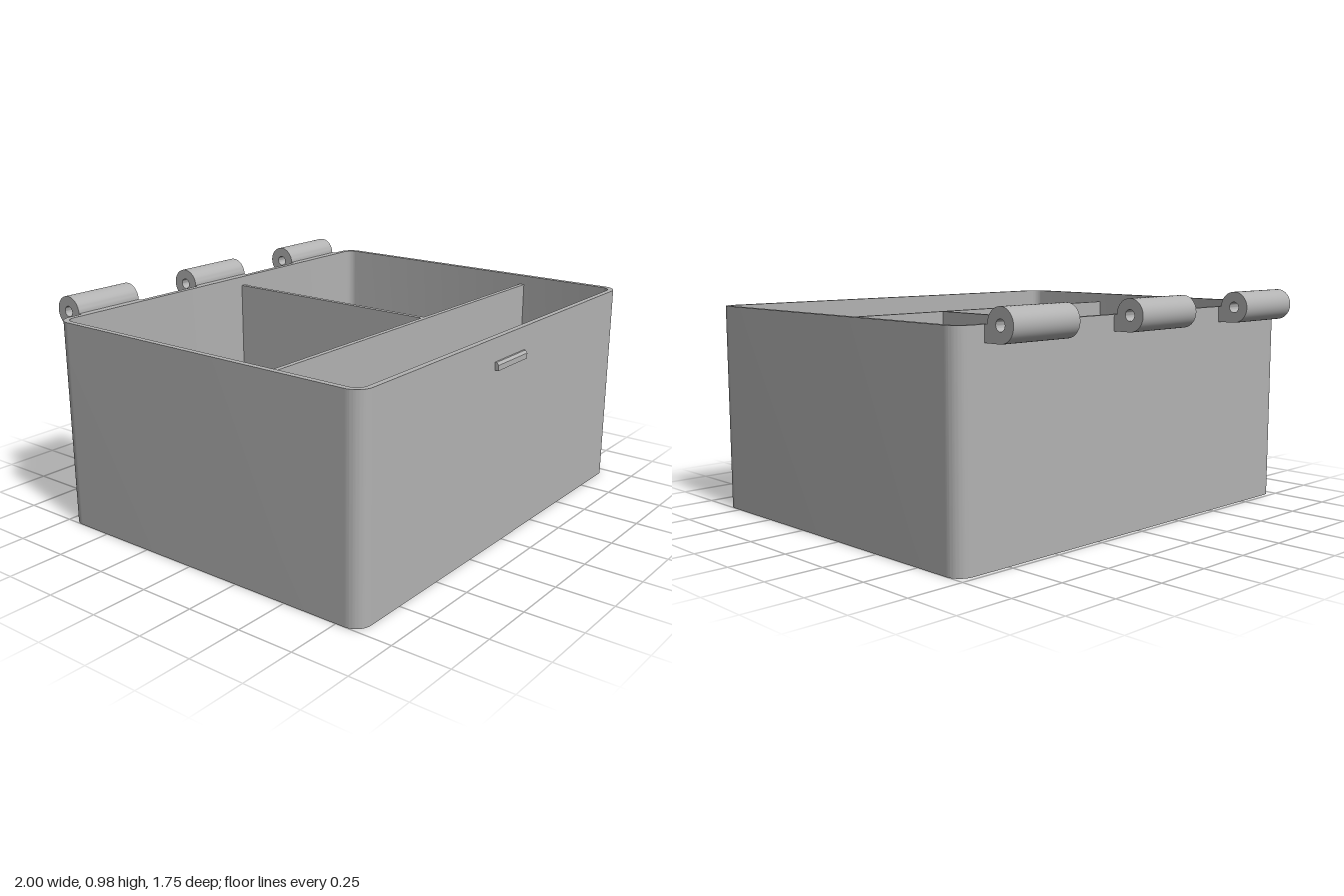
import * as THREE from 'three';
import { toCreasedNormals } from 'three/addons/utils/BufferGeometryUtils.js';

const FRONT = 0.86, BACK = -0.73, HEIGHT = 0.911, WALL = 0.025, RADIUS = 0.07;
const DIVIDER_TOP = 0.868, FLOOR = 0.025;

// Rounded rectangle of the box plan, drawn with y = -z and shrunk by an inset
function plan(Kind, inset) {
  const r = RADIUS - inset, x = 1 - inset, y0 = -FRONT + inset, y1 = -BACK - inset;
  const s = new Kind();
  s.moveTo(-x + r, y0);
  s.lineTo(x - r, y0);
  s.absarc(x - r, y0 + r, r, -Math.PI / 2, 0);
  s.lineTo(x, y1 - r);
  s.absarc(x - r, y1 - r, r, 0, Math.PI / 2);
  s.lineTo(-x + r, y1);
  s.absarc(-x + r, y1 - r, r, Math.PI / 2, Math.PI);
  s.lineTo(-x, y0 + r);
  s.absarc(-x + r, y0 + r, r, Math.PI, Math.PI * 1.5);
  return s;
}

function extrude(shape, depth) {
  const g = new THREE.ExtrudeGeometry(shape, { depth, bevelEnabled: false, curveSegments: 16 });
  return toCreasedNormals(g, 0.6);
}

// Extrudes a (z, y) profile along x, centred on x = 0
function alongX(shape, width) {
  return extrude(shape, width).translate(0, 0, -width / 2).rotateY(-Math.PI / 2);
}

export function createModel() {
  const model = new THREE.Group();
  model.name = 'compartmentBox';
  const grey = new THREE.MeshStandardMaterial({ color: 0xb2b2b2 });
  grey.name = 'grey';
  const add = (name, geometry, x = 0, y = 0, z = 0) => {
    const mesh = new THREE.Mesh(geometry, grey);
    mesh.name = name;
    mesh.position.set(x, y, z);
    model.add(mesh);
  };

  // Open box: rounded walls and floor
  const walls = plan(THREE.Shape, 0);
  walls.holes.push(plan(THREE.Path, WALL));
  add('walls', extrude(walls, HEIGHT).rotateX(-Math.PI / 2));
  add('floor', extrude(plan(THREE.Shape, WALL), FLOOR).rotateX(-Math.PI / 2));

  // Dividers, slightly lower than the rim
  const h = DIVIDER_TOP - FLOOR, midY = FLOOR + h / 2;
  add('crossDivider', new THREE.BoxGeometry(2 - 2 * WALL, h, 0.022), 0, midY, 0.365);
  const back = BACK + WALL, front = 0.354;
  add('rearDivider', new THREE.BoxGeometry(0.022, h, front - back), 0.119, midY, (front + back) / 2);

  // Hinge knuckles: bored barrel with a flat foot against the back wall
  const axisZ = -0.81, r = 0.067;
  const knuckle = new THREE.Shape();
  knuckle.moveTo(BACK, HEIGHT - r);
  knuckle.lineTo(BACK, HEIGHT);
  knuckle.lineTo(axisZ + r, HEIGHT);
  knuckle.absarc(axisZ, HEIGHT, r, 0, Math.PI * 1.5);
  knuckle.closePath();
  const bore = new THREE.Path();
  bore.absarc(axisZ, HEIGHT, 0.023, 0, Math.PI * 2, true);
  knuckle.holes.push(bore);
  const knuckleGeometry = alongX(knuckle, 0.34);
  ['hingeRight', 'hingeMiddle', 'hingeLeft'].forEach((name, i) => add(name, knuckleGeometry, (i - 1) * 0.7));

  // Latch ridge with a chamfered top
  const ridge = new THREE.Shape([[0, 0.777], [0.017, 0.777], [0.017, 0.8], [0.008, 0.811], [0, 0.811]]
    .map(([z, y]) => new THREE.Vector2(FRONT + z, y)));
  add('latchRidge', alongX(ridge, 0.23));

  return model;
}
